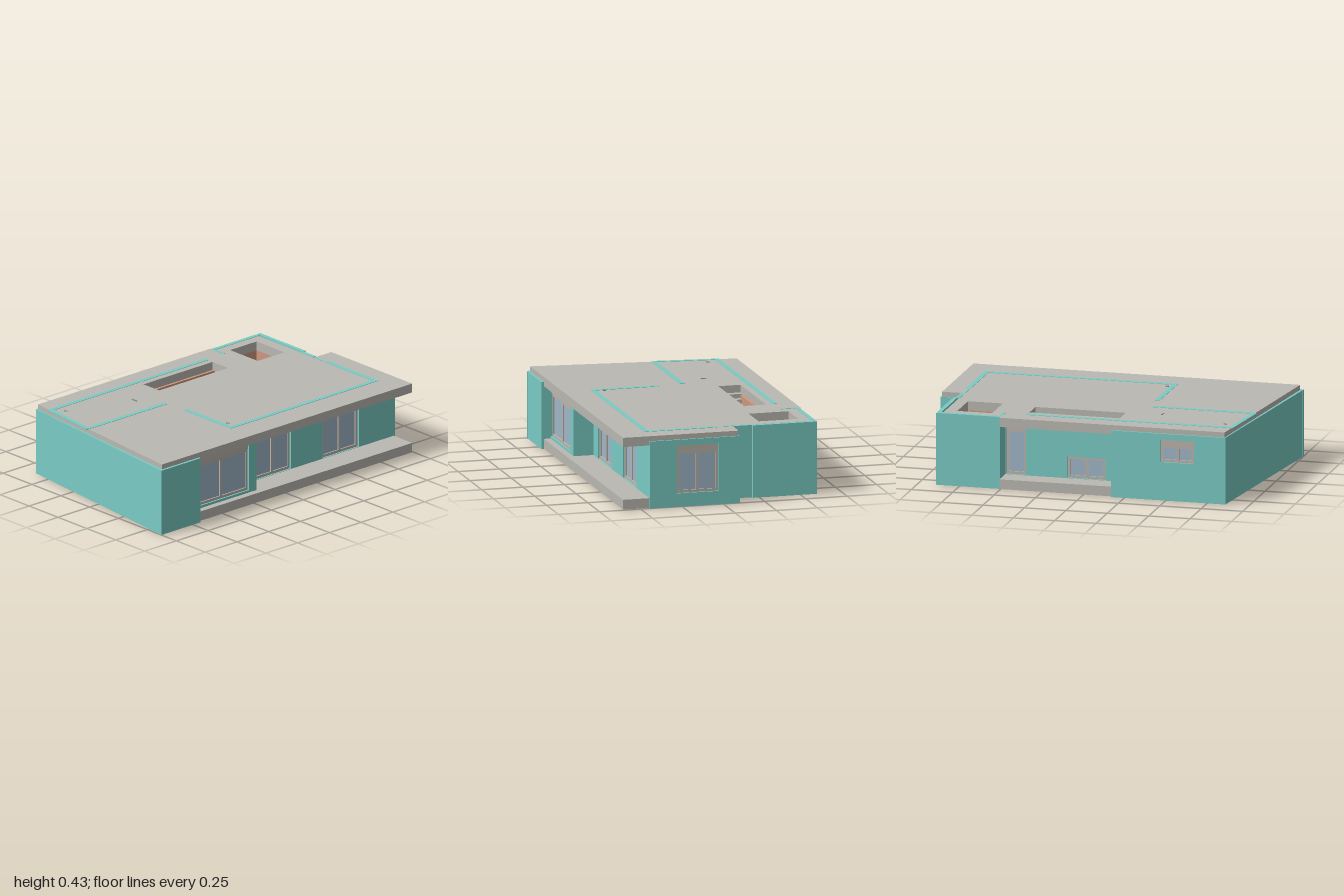
import * as THREE from 'three';

const mat = (name, color, side = THREE.FrontSide) => {
  const m = new THREE.MeshStandardMaterial({ color, side });
  m.name = name;
  return m;
};

export function createModel() {
  const M = {
    teal: mat('teal insulation', 0x7accc5),
    concrete: mat('concrete', 0xbbb9b2),
    frame: mat('window frame', 0xbcb5ac),
    glass: mat('glass', 0xa0b8ca),
    brick: mat('brick', 0xcf9880),
    dark: mat('pipe grey', 0x8a8680),
  };
  const root = new THREE.Group();
  root.name = 'building storey';

  const add = (parent, name, geo, material) => {
    const m = new THREE.Mesh(geo, material);
    m.name = name;
    parent.add(m);
    return m;
  };
  const box = (parent, name, material, x0, x1, y0, y1, z0, z1) => {
    const m = add(parent, name, new THREE.BoxGeometry(x1 - x0, y1 - y0, z1 - z0), material);
    m.position.set((x0 + x1) / 2, (y0 + y1) / 2, (z0 + z1) / 2);
    return m;
  };
  const rect = (x0, x1, y0, y1) =>
    [[x0, y0], [x1, y0], [x1, y1], [x0, y1]].map(p => new THREE.Vector2(...p));
  const panel = (outline, holes, depth) => {
    const s = new THREE.Shape(outline);
    holes.forEach(h => s.holes.push(new THREE.Path(h.slice().reverse())));
    return new THREE.ExtrudeGeometry(s, { depth, bevelEnabled: false });
  };

  // Window: frame ring with two sashes, optional shutter box above
  const windowUnit = (parent, [u0, u1, y0, y1], shutter) => {
    const g = new THREE.Group();
    g.name = 'window';
    parent.add(g);
    const top = shutter ? y1 - 0.035 : y1, b = 0.016, mid = (u0 + u1) / 2;
    const panes = u1 - u0 < 0.15
      ? [[u0 + b, u1 - b]]
      : [[u0 + b, mid - 0.008], [mid + 0.008, u1 - b]];
    const holes = panes.map(([a, c]) => rect(a, c, y0 + b, top - b));
    add(g, 'frame', panel(rect(u0, u1, y0, top), holes, 0.02), M.frame).position.z = -0.03;
    panes.forEach(([a, c]) => box(g, 'pane', M.glass, a, c, y0 + b, top - b, -0.024, -0.018));
    if (shutter) box(g, 'shutterBox', M.frame, u0, u1, top, y1, -0.05, -0.006);
  };

  // Outer wall from p to q, its outside on the right hand; teal skin over a brick core
  const T = 0.025;
  const wall = (name, p, q, height, openings = []) => {
    const g = new THREE.Group();
    g.name = name;
    const dx = q[0] - p[0], dz = q[1] - p[1], len = Math.hypot(dx, dz);
    g.position.set(p[0], 0, p[1]);
    g.rotation.y = Math.atan2(-dz, dx);
    root.add(g);
    const holes = openings.map(o => rect(...o));
    add(g, 'skin', panel(rect(0, len, 0, height), holes, T), M.teal).position.z = -T;
    if (len > 0.45) {
      const core = openings.map(o => rect(Math.max(o[0], 0.05), o[1], o[2], Math.min(o[3], 0.37)));
      add(g, 'core', panel(rect(0.04, len - 0.04, 0, 0.38), core, 0.03), M.brick).position.z = -T - 0.03;
    }
    openings.forEach(o => windowUnit(g, o, o[3] > 0.3));
  };

  const A = [-1, 0.62], B = [-0.69, 0.62], C = [-0.69, 0.565], D = [-0.2, 0.565], E = [-0.2, 0.445],
    F = [1, 0.445], G = [1, -0.1], H = [0.875, -0.1], I = [0.875, -0.21], J = [0.89, -0.21],
    K = [0.89, -0.6], L = [0.505, -0.6], N = [0.505, -0.48], O = [-0.17, -0.48], P = [-0.17, -0.62],
    Q = [-0.86, -0.62];
  wall('frontLeftWall', A, B, 0.4);
  wall('frontReturn', B, C, 0.4);
  wall('bayWall', C, D, 0.4, [[0.005, 0.43, 0.075, 0.365]]);
  wall('bayReturn', D, E, 0.4);
  wall('terraceWall', E, F, 0.4, [[0.1, 0.38, 0.062, 0.365], [0.63, 0.915, 0.062, 0.365]]);
  wall('sideWall', F, G, 0.4, [[0.165, 0.415, 0.08, 0.365]]);
  wall('sideStep', G, H, 0.4);
  wall('entranceWall', H, I, 0.432);
  wall('entranceStep', I, J, 0.432);
  wall('shaftSideWall', J, K, 0.432);
  wall('shaftBackWall', K, L, 0.432);
  wall('loggiaReturnA', L, N, 0.4);
  wall('loggiaWall', N, O, 0.4, [[0.005, 0.125, 0.062, 0.365], [0.375, 0.605, 0.062, 0.19]]);
  wall('loggiaReturnB', O, P, 0.4);
  wall('backWall', P, Q, 0.4, [[0.3, 0.5, 0.23, 0.365]]);
  wall('slantedWall', Q, A, 0.4);

  // Floor and roof slabs with stair and shaft openings
  const outline = [[-0.982, 0.605], [0.99, 0.605], [0.99, -0.095], [0.855, -0.095],
    [0.855, -0.595], [0.505, -0.595], [0.505, -0.61], [-0.853, -0.61]]
    .map(([x, z]) => new THREE.Vector2(x, -z));
  const stairHole = rect(-0.175, 0.37, 0.305, 0.44);
  const shaftHole = rect(0.575, 0.785, 0.275, 0.515);
  [['floorSlab', 0.002, 0.058], ['roofSlab', 0.375, 0.055]].forEach(([name, y, h]) => {
    const geo = panel(outline, [stairHole, shaftHole], h).rotateX(-Math.PI / 2);
    add(root, name, geo, M.concrete).position.y = y;
  });

  // Brick linings around both openings
  const lining = (name, x0, x1, z0, z1) => {
    const t = 0.02;
    const geo = panel(rect(x0 - t, x1 + t, -z1 - t, -z0 + t), [rect(x0, x1, -z1, -z0)], 0.315);
    add(root, name, geo.rotateX(-Math.PI / 2), M.brick).position.y = 0.06;
  };
  lining('stairLining', -0.175, 0.37, -0.44, -0.305);
  lining('shaftLining', 0.575, 0.785, -0.515, -0.275);

  // Stair flight
  const stair = new THREE.Group();
  stair.name = 'stair';
  root.add(stair);
  const steps = 13, run = 0.51 / steps;
  for (let i = 0; i < steps; i++) {
    const x = 0.335 - i * run, y = 0.085 + i * 0.025;
    box(stair, 'step', M.concrete, x - run, x, y - 0.03, y, -0.438, -0.307);
    box(stair, 'soffit', M.brick, x - run, x, y - 0.04, y - 0.03, -0.438, -0.307);
  }
  for (let i = 0; i < 3; i++)
    box(stair, 'bracket', M.brick, 0.34, 0.365, 0.34, 0.36, -0.43 + i * 0.045, -0.4 + i * 0.045);

  // Inner partitions
  [[-0.9, -0.29, -0.135, -0.105], [-0.29, -0.26, 0.03, 0.42], [-0.26, 0.84, -0.2, -0.18],
    [0.3, 0.32, -0.18, 0.4], [-0.42, -0.4, -0.58, -0.135]]
    .forEach(([x0, x1, z0, z1]) => box(root, 'partition', M.brick, x0, x1, 0, 0.38, z0, z1));

  // Thin teal strips on the roof marking the storey above
  [[-0.87, 0.37, -0.505, -0.478], [-0.905, -0.29, -0.135, -0.107], [-0.29, -0.262, 0.03, 0.44],
    [-0.262, 0.875, 0.413, 0.44], [0.848, 0.875, 0, 0.413], [0.5, 0.516, -0.572, -0.49],
    [0.848, 0.862, -0.095, -0.03]]
    .forEach(([x0, x1, z0, z1]) => box(root, 'roofStrip', M.teal, x0, x1, 0.427, 0.432, z0, z1));
  const slant = box(root, 'roofStrip', M.teal, -0.013, 0.013, 0.427, 0.432, -0.19, 0.19);
  slant.position.set(-0.882, 0.4295, -0.305);
  slant.rotation.y = -Math.atan2(0.14, 1.24);

  // Pipe ends and vent slot
  [[-0.805, -0.42], [-0.245, 0.365]].forEach(([x, z]) => {
    add(root, 'pipeRing', new THREE.TorusGeometry(0.009, 0.002, 6, 20).rotateX(Math.PI / 2), M.dark)
      .position.set(x, 0.431, z);
  });
  box(root, 'ventSlot', M.dark, -0.397, -0.385, 0.428, 0.432, -0.3, -0.26);

  return root;
}
